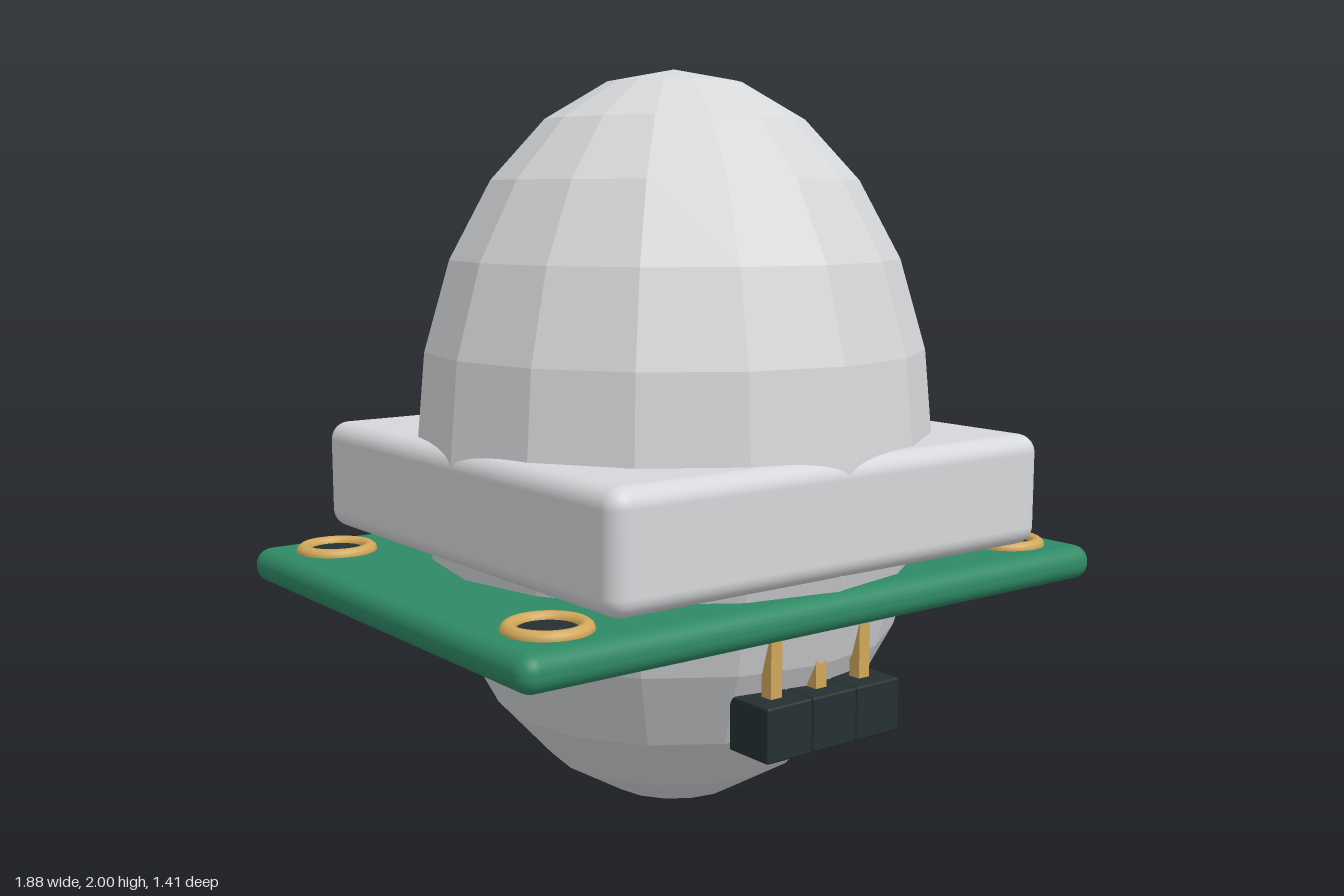
import * as THREE from 'three';
import { RoundedBoxGeometry } from 'three/addons/geometries/RoundedBoxGeometry.js';

export function createModel() {
  const model = new THREE.Group();
  model.name = 'motionSensor';

  const material = (name, color, flatShading = false) => {
    const m = new THREE.MeshStandardMaterial({ color, flatShading });
    m.name = name;
    return m;
  };
  const lensWhite = material('lensWhite', 0xd6d7d9, true);
  const housingWhite = material('housingWhite', 0xd6d7da);
  const boardGreen = material('boardGreen', 0x2f8a66);
  const gold = material('gold', 0xd2a85a);
  const black = material('black', 0x253032);

  const add = (name, geometry, mat, x, y, z) => {
    const mesh = new THREE.Mesh(geometry, mat);
    mesh.name = name;
    mesh.position.set(x, y, z);
    model.add(mesh);
    return mesh;
  };

  // Faceted egg-shaped lens that passes through the housing and board
  const lens = new THREE.SphereGeometry(1, 16, 12);
  lens.scale(0.704, 1, 0.704);
  add('lens', lens, lensWhite, 0, 1, 0);

  // Square lens housing and circuit board
  add('housing', new RoundedBoxGeometry(1.41, 0.3, 1.41, 4, 0.05), housingWhite, 0, 0.885, 0);
  add('circuitBoard', new RoundedBoxGeometry(1.88, 0.094, 1.41, 4, 0.044), boardGreen, 0, 0.653, 0);

  // Plated mounting holes in the four corners
  const ring = new THREE.TorusGeometry(0.09, 0.02, 10, 32);
  ring.rotateX(Math.PI / 2);
  const hole = new THREE.CylinderGeometry(0.08, 0.08, 0.008, 32);
  for (const x of [-0.765, 0.765]) {
    for (const z of [-0.53, 0.53]) {
      add('mountingRing', ring, gold, x, 0.701, z);
      add('mountingHole', hole, black, x, 0.7, z);
    }
  }

  // Three-pin header below the front edge
  const block = new RoundedBoxGeometry(0.147, 0.141, 0.147, 2, 0.006);
  const pin = new THREE.BoxGeometry(0.036, 0.25, 0.036);
  for (const x of [-0.149, 0, 0.149]) {
    add('headerBlock', block, black, x, 0.37, 0.59);
    add('headerPin', pin, gold, x, 0.5, 0.592);
  }

  return model;
}
